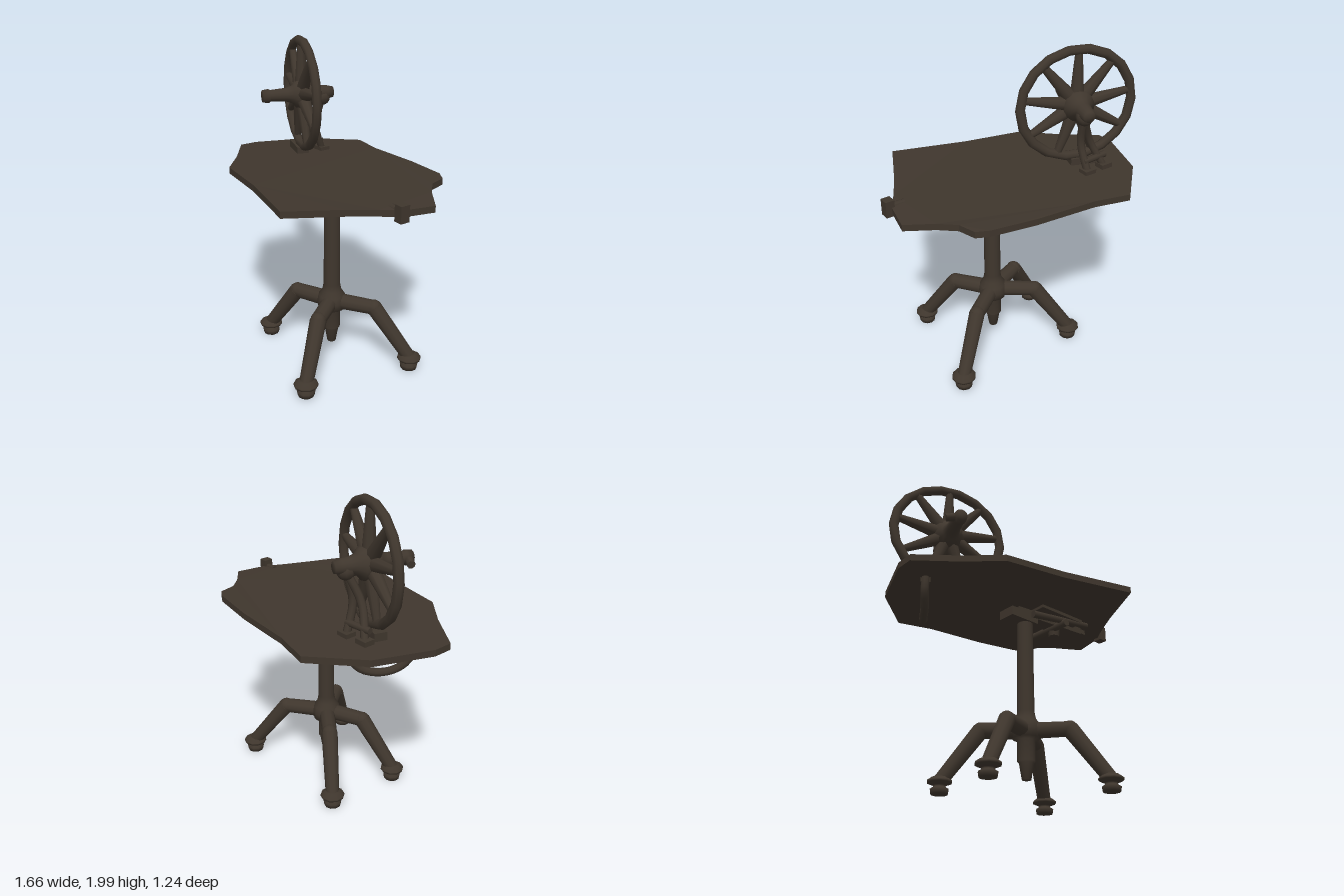
import * as THREE from 'three';

const iron = new THREE.MeshStandardMaterial({ color: 0x3f362d });
iron.name = 'dark iron';

const V = (x, y, z) => new THREE.Vector3(x, y, z);

function add(parent, name, geometry, x = 0, y = 0, z = 0) {
  const mesh = new THREE.Mesh(geometry, iron);
  mesh.name = name;
  mesh.position.set(x, y, z);
  parent.add(mesh);
  return mesh;
}

// Tapered round bar between two points
function bar(parent, name, a, b, ra, rb, sides = 10) {
  const d = b.clone().sub(a);
  const mesh = add(parent, name, new THREE.CylinderGeometry(rb, ra, d.length(), sides));
  mesh.position.copy(a).addScaledVector(d, 0.5);
  mesh.quaternion.setFromUnitVectors(V(0, 1, 0), d.normalize());
  return mesh;
}

function lathe(parent, name, profile, x, y, z, sides = 14) {
  const pts = profile.map(([r, h]) => new THREE.Vector2(r, h));
  return add(parent, name, new THREE.LatheGeometry(pts, sides), x, y, z);
}

function buildTop(parent) {
  // Irregular slab, outline as [x, z]
  const outline = [
    [-0.43, -0.62], [-0.2, -0.57], [0.2, -0.55], [0.49, -0.51], [0.56, -0.47], [0.59, -0.36],
    [0.68, -0.27], [0.83, -0.16], [0.79, 0.03], [0.72, 0.14], [0.63, 0.3], [0.475, 0.615],
    [0, 0.5], [-0.4, 0.44], [-0.59, 0.28], [-0.835, 0.11], [-0.835, -0.01], [-0.7, -0.36],
  ];
  const shape = new THREE.Shape(outline.map(([x, z]) => new THREE.Vector2(x, -z)));
  const geo = new THREE.ExtrudeGeometry(shape, { depth: 0.04, bevelEnabled: false });
  geo.rotateX(-Math.PI / 2);
  // Slight rise to the left, dropping again past the pedestal
  const p = geo.attributes.position;
  for (let i = 0; i < p.count; i++) {
    const x = p.getX(i);
    const rise = 0.036 * Math.min(x, 0.5) - 0.07 * Math.max(0, x - 0.5) + 0.01 * p.getZ(i);
    p.setY(i, p.getY(i) + 1.207 + rise);
  }
  geo.computeVertexNormals();
  add(parent, 'tableTop', geo);

  // Edge knob
  bar(parent, 'knobStem', V(0.7, 1.24, 0.05), V(0.79, 1.24, 0.055), 0.022, 0.022, 8);
  add(parent, 'edgeKnob', new THREE.BoxGeometry(0.055, 0.1, 0.06), 0.8, 1.238, 0.055);
}

function buildBracket(parent) {
  const bracket = new THREE.Group();
  bracket.name = 'underBracket';
  parent.add(bracket);
  add(bracket, 'columnBlock', new THREE.BoxGeometry(0.22, 0.06, 0.12), 0.07, 1.145, 0.02);
  const beam = add(bracket, 'beam', new THREE.BoxGeometry(0.56, 0.05, 0.1), 0.3, 1.18, 0.03);
  beam.rotation.z = 0.05;
  add(bracket, 'mountPlate', new THREE.BoxGeometry(0.36, 0.03, 0.3), 0.32, 1.205, 0.02);
  bar(bracket, 'crossRod', V(0.35, 1.15, 0.17), V(0.35, 1.15, -0.14), 0.025, 0.025, 8);
  bar(bracket, 'sideRod', V(0.12, 1.16, 0.1), V(0.55, 1.19, 0.16), 0.025, 0.02, 8);
  bar(bracket, 'clampScrew', V(0.37, 1.1, 0.03), V(0.37, 1.2, 0.03), 0.035, 0.045, 8);
  add(bracket, 'endLug', new THREE.BoxGeometry(0.12, 0.04, 0.08), 0.57, 1.2, 0.03);
}

function buildPedestal(parent) {
  const cx = 0.12, cz = 0.02;
  lathe(parent, 'column', [
    [0.001, 0.1], [0.028, 0.1], [0.045, 0.2], [0.055, 0.21], [0.055, 0.34], [0.085, 0.35],
    [0.095, 0.4], [0.085, 0.44], [0.062, 0.475], [0.053, 0.52], [0.05, 1.2],
  ], cx, 0, cz);

  // Four bent legs with stepped feet
  const feet = [[0.41, 0.42], [0.55, -0.28], [-0.33, 0.21], [-0.29, -0.28]];
  for (const [fx, fz] of feet) {
    const leg = new THREE.Group();
    leg.name = 'leg';
    parent.add(leg);
    const knee = V(cx + (fx - cx) * 0.54, 0.395, cz + (fz - cz) * 0.54);
    bar(leg, 'legArm', V(cx, 0.4, cz), knee, 0.052, 0.048);
    add(leg, 'legKnee', new THREE.SphereGeometry(0.05, 10, 8), knee.x, knee.y, knee.z);
    bar(leg, 'legShin', knee, V(fx, 0.08, fz), 0.052, 0.043);
    lathe(leg, 'foot', [
      [0.001, 0.005], [0.052, 0.005], [0.057, 0.035], [0.036, 0.048], [0.04, 0.058],
      [0.075, 0.072], [0.075, 0.085], [0.048, 0.105], [0.001, 0.115],
    ], fx, 0, fz, 10);
  }
}

function buildWheel(parent) {
  const wheel = new THREE.Group();
  wheel.name = 'wheel';
  wheel.position.set(-0.415, 1.627, -0.12);
  wheel.rotation.y = -0.32;
  parent.add(wheel);

  const rim = add(wheel, 'rim', new THREE.TorusGeometry(0.343, 0.03, 8, 18));
  rim.scale.x = 1.045;
  rim.rotation.z = 0;

  // Nine tapered spokes
  for (let i = 0; i < 9; i++) {
    const a = Math.PI / 2 + (i * Math.PI * 2) / 9;
    const c = Math.cos(a), s = Math.sin(a);
    bar(wheel, 'spoke', V(c * 0.05, s * 0.05, 0), V(c * 0.35, s * 0.345, 0), 0.046, 0.022, 8);
  }

  // Hub with through axle
  lathe(wheel, 'hub', [
    [0.001, -0.21], [0.035, -0.21], [0.045, -0.17], [0.05, -0.12], [0.06, -0.08], [0.095, -0.05],
    [0.1, 0.03], [0.06, 0.06], [0.046, 0.1], [0.038, 0.21], [0.046, 0.22], [0.04, 0.26], [0.001, 0.26],
  ], 0, 0, 0).rotation.x = Math.PI / 2;
  bar(wheel, 'crankPin', V(0, 0, 0.235), V(-0.085, -0.015, 0.215), 0.028, 0.024, 8);
}

function buildSupport(parent) {
  // Struts from the rear of the hub down to the slab
  const top = V(-0.37, 1.6, -0.25);
  add(parent, 'strutCollar', new THREE.SphereGeometry(0.055, 10, 8), top.x, top.y, top.z);
  const ends = [V(-0.54, 1.23, -0.26), V(-0.4, 1.23, -0.27)];
  for (const end of ends) {
    const mid = top.clone().lerp(end, 0.5).add(V(0, 0, 0.05));
    const curve = new THREE.CatmullRomCurve3([top, mid, end]);
    add(parent, 'strut', new THREE.TubeGeometry(curve, 8, 0.024, 8));
    add(parent, 'strutFoot', new THREE.BoxGeometry(0.08, 0.03, 0.07), end.x, 1.24, end.z);
  }
  bar(parent, 'strutTie', V(-0.56, 1.3, -0.24), V(-0.38, 1.3, -0.25), 0.02, 0.02, 8);
  add(parent, 'rimSeat', new THREE.BoxGeometry(0.2, 0.05, 0.08), -0.48, 1.25, -0.14).rotation.y = -0.32;

  // Hanging loop under the slab
  const loop = new THREE.CatmullRomCurve3([
    V(-0.65, 1.21, 0.0), V(-0.645, 1.1, -0.01), V(-0.605, 1.035, -0.06),
    V(-0.55, 1.015, -0.15), V(-0.49, 1.045, -0.24), V(-0.455, 1.12, -0.29), V(-0.45, 1.21, -0.3),
  ]);
  add(parent, 'hangingLoop', new THREE.TubeGeometry(loop, 20, 0.025, 8));
  const plate = add(parent, 'loopPlate', new THREE.BoxGeometry(0.36, 0.04, 0.06), -0.55, 1.175, -0.15);
  plate.rotation.y = Math.atan2(0.3, 0.2);
}

export function createModel() {
  const model = new THREE.Group();
  model.name = 'wheelTable';
  buildTop(model);
  buildBracket(model);
  buildPedestal(model);
  buildWheel(model);
  buildSupport(model);
  return model;
}
